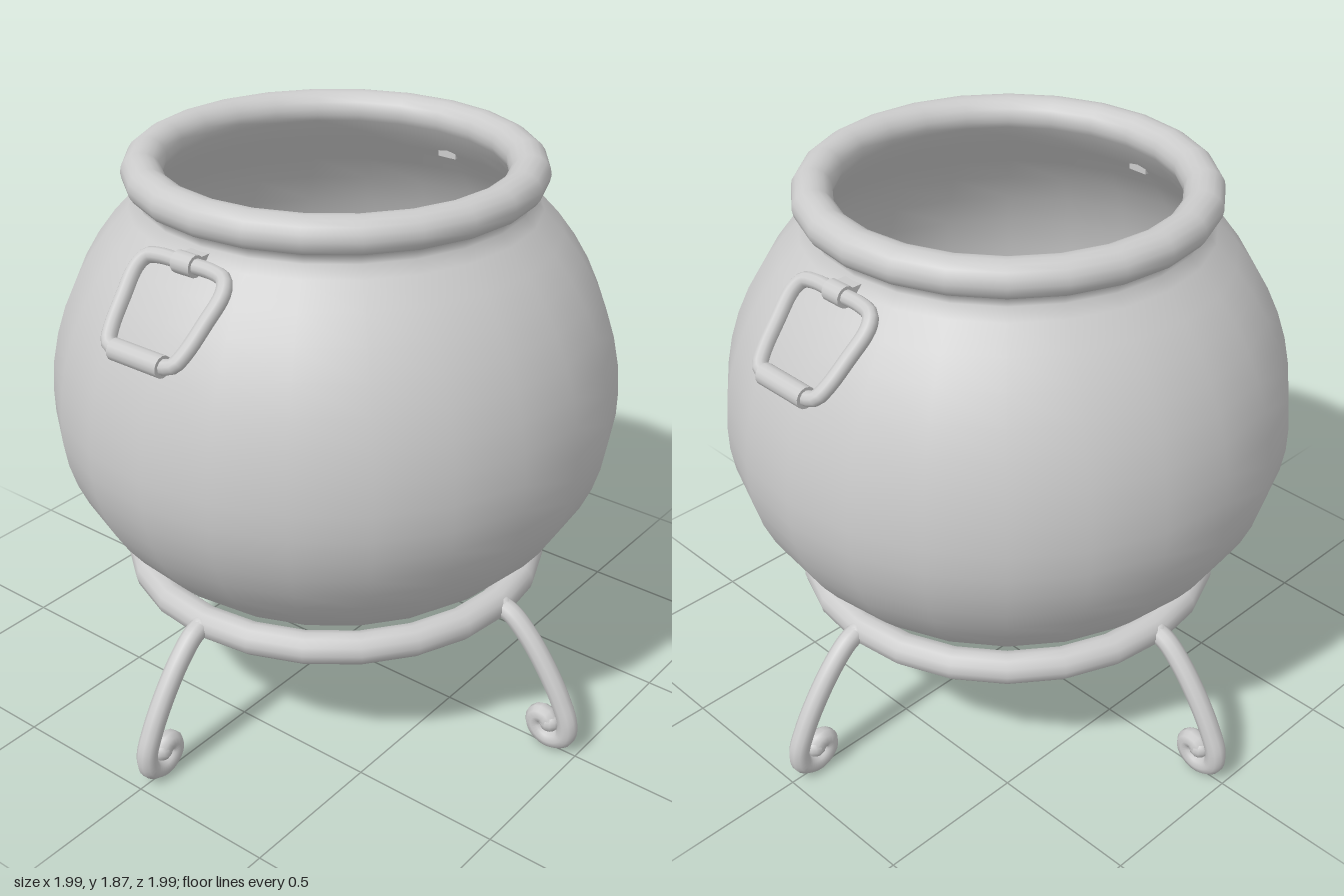
import * as THREE from 'three';

const material = new THREE.MeshStandardMaterial({ color: 0xcccccc });
const SIDES = 24;

function addMesh(parent, geometry, name) {
  const mesh = new THREE.Mesh(geometry, material);
  mesh.name = name;
  parent.add(mesh);
  return mesh;
}

// Hollow pot: outer belly, rolled rim and inner wall in one turned profile
function makePot(parent) {
  const profile = [];
  const MID = 1.06;
  const belly = (radius, low, high, from, to, steps) => {
    for (let i = 0; i <= steps; i++) {
      const a = from + (to - from) * i / steps;
      const height = a < 0 ? low : high;
      profile.push(new THREE.Vector2(Math.max(0, radius * Math.cos(a)), MID + height * Math.sin(a)));
    }
  };
  belly(0.922, 0.735, 0.9, -Math.PI / 2, 0.79, 22);
  profile.push(new THREE.Vector2(0.618, 1.735), new THREE.Vector2(0.622, 1.765));
  // Rolled rim, from the outer underside over the top to the inside
  for (let i = 0; i <= 12; i++) {
    const a = -0.75 + (Math.PI + 1.3) * i / 12;
    profile.push(new THREE.Vector2(0.6 + 0.064 * Math.cos(a), 1.815 + 0.06 * Math.sin(a)));
  }
  profile.push(new THREE.Vector2(0.575, 1.74));
  belly(0.885, 0.7, 0.87, 0.8, -Math.PI / 2, 18);
  addMesh(parent, new THREE.LatheGeometry(profile, SIDES), 'pot');
}

// Curved leg ending in an inward scroll, built along +x
function makeLeg() {
  const leg = new THREE.Group();
  leg.name = 'leg';
  const path = [
    [0.69, 0.465], [0.735, 0.445], [0.80, 0.385], [0.87, 0.295], [0.93, 0.195],
    [0.962, 0.115], [0.957, 0.065], [0.932, 0.042], [0.895, 0.034], [0.86, 0.05],
    [0.843, 0.08], [0.852, 0.108], [0.878, 0.115], [0.897, 0.095],
  ].map(([x, y]) => new THREE.Vector3(x, y, 0));
  addMesh(leg, new THREE.TubeGeometry(new THREE.CatmullRomCurve3(path), 60, 0.034, 10), 'legRod');
  for (const end of [path[0], path[path.length - 1]]) {
    addMesh(leg, new THREE.SphereGeometry(0.035, 12, 8), 'legEnd').position.copy(end);
  }
  return leg;
}

// Hanging handle on the +x side: bent loop, grip and clip
function makeHandle() {
  const handle = new THREE.Group();
  handle.name = 'handle';
  const top = new THREE.Vector3(0.68, 1.703, 0);
  const bottom = new THREE.Vector3(0.892, 1.487, 0);
  const half = [[0.1, 0], [0.148, 0.04], [0.167, 0.17], [0.158, 0.5], [0.143, 0.82], [0.125, 0.96], [0.09, 1]];
  const at = (z, s) => top.clone().lerp(bottom, s).setZ(z);
  const points = [
    at(0, 0), ...half.map(([z, s]) => at(z, s)),
    at(0, 1), ...half.slice().reverse().map(([z, s]) => at(-z, s)),
  ];
  const curve = new THREE.CatmullRomCurve3(points, true);
  addMesh(handle, new THREE.TubeGeometry(curve, 64, 0.024, 10, true), 'handleLoop');

  const grip = addMesh(handle, new THREE.CylinderGeometry(0.034, 0.034, 0.19, 14), 'handleGrip');
  grip.rotation.x = Math.PI / 2;
  grip.position.copy(bottom);

  const clip = addMesh(handle, new THREE.CylinderGeometry(0.034, 0.034, 0.07, 14), 'handleClip');
  clip.rotation.x = Math.PI / 2;
  clip.position.copy(top);

  const mount = addMesh(handle, new THREE.BoxGeometry(0.08, 0.05, 0.07), 'handleMount');
  mount.position.set(0.645, 1.7, 0);
  return handle;
}

export function createModel() {
  const model = new THREE.Group();
  model.name = 'cauldron';
  makePot(model);

  // Stand: ring and four legs
  const stand = new THREE.Group();
  stand.name = 'stand';
  model.add(stand);
  const ring = addMesh(stand, new THREE.TorusGeometry(0.662, 0.053, 12, SIDES), 'standRing');
  ring.rotation.x = Math.PI / 2;
  ring.position.y = 0.463;
  for (let i = 0; i < 4; i++) {
    const leg = makeLeg();
    leg.rotation.y = i * Math.PI / 2;
    stand.add(leg);
  }

  // Handles on both sides
  for (const angle of [0, Math.PI]) {
    const handle = makeHandle();
    handle.rotation.y = angle;
    model.add(handle);
  }
  return model;
}
